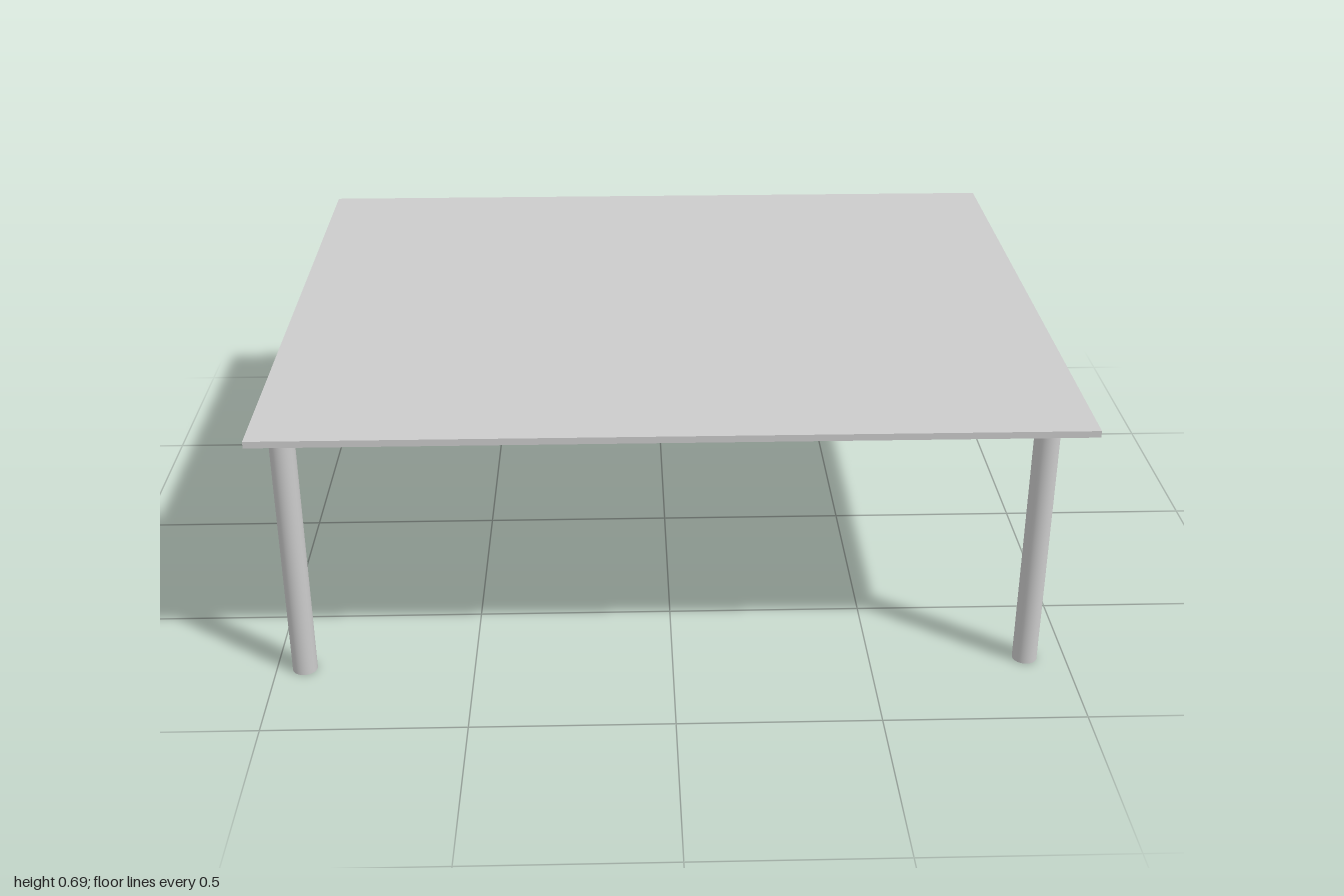
import * as THREE from 'three';

export function createModel() {
  const model = new THREE.Group();
  model.name = 'table';
  const material = new THREE.MeshStandardMaterial({ color: 0xcccccc });

  const height = 0.693, thickness = 0.017;
  const legHeight = height - thickness, legRadius = 0.031;

  // Thin flat top
  const top = new THREE.Mesh(new THREE.BoxGeometry(2, thickness, 1.667), material);
  top.name = 'tableTop';
  top.position.y = height - thickness / 2;
  model.add(top);

  // Four round legs, set slightly off centre towards the back right
  const legGeometry = new THREE.CylinderGeometry(legRadius, legRadius, legHeight, 32);
  for (const [side, x] of [['Right', -0.929], ['Left', 0.898]]) {
    for (const [end, z] of [['front', 0.739], ['back', -0.786]]) {
      const leg = new THREE.Mesh(legGeometry, material);
      leg.name = `${end}${side}Leg`;
      leg.position.set(x, legHeight / 2, z);
      model.add(leg);
    }
  }
  return model;
}
